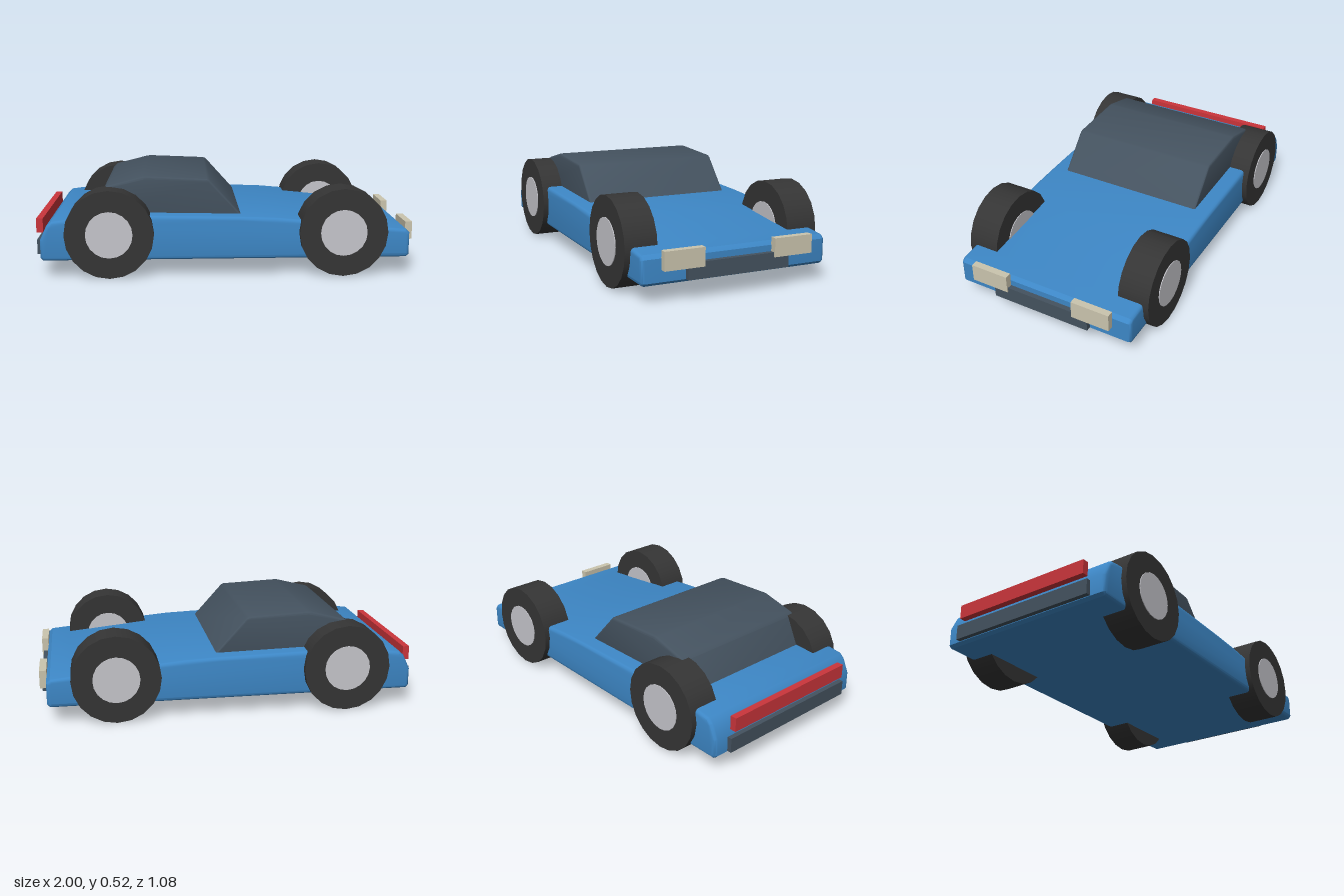
import * as THREE from 'three';
import { toCreasedNormals } from 'three/addons/utils/BufferGeometryUtils.js';

const paint = (name, color) => {
  const m = new THREE.MeshStandardMaterial({ color });
  m.name = name;
  return m;
};

export function createModel() {
  const car = new THREE.Group();
  car.name = 'car';

  const blue = paint('bodyBlue', 0x3d87c6);
  const slate = paint('slate', 0x44525f);
  const rubber = paint('tyreRubber', 0x353535);
  const metal = paint('hubMetal', 0xc6c6cc);
  const cream = paint('headlightCream', 0xcbc5ae);
  const red = paint('tailLightRed', 0xcb353b);

  const add = (name, geometry, material, x = 0, y = 0, z = 0) => {
    const mesh = new THREE.Mesh(geometry, material);
    mesh.name = name;
    mesh.position.set(x, y, z);
    car.add(mesh);
    return mesh;
  };

  // Side profile swept across the car, with softened edges inside the given width
  const sweep = (points, width, bevel) => {
    const shape = new THREE.Shape(points.map(([x, y]) => new THREE.Vector2(x, y)));
    const g = new THREE.ExtrudeGeometry(shape, {
      depth: width - 2 * bevel, bevelEnabled: true, bevelThickness: bevel,
      bevelSize: bevel, bevelOffset: -bevel, bevelSegments: 3,
    });
    g.translate(0, 0, -width / 2 + bevel);
    return toCreasedNormals(g, 0.55);
  };

  // Box given by its lower and upper corners
  const block = (name, material, [x0, y0, z0], [x1, y1, z1]) =>
    add(name, new THREE.BoxGeometry(x1 - x0, y1 - y0, z1 - z0), material,
      (x0 + x1) / 2, (y0 + y1) / 2, (z0 + z1) / 2);

  // Body
  add('body', sweep([
    [-0.955, 0.09], [0.95, 0.09], [0.965, 0.105], [0.965, 0.22], [0.945, 0.24],
    [0.84, 0.25], [0.6, 0.275], [0.4, 0.295], [0.25, 0.308], [0.07, 0.315],
    [-0.4, 0.325], [-0.84, 0.307], [-0.91, 0.298], [-0.935, 0.275],
    [-0.97, 0.2], [-0.97, 0.105],
  ], 1.01, 0.02), blue);

  // Cabin
  add('cabin', sweep([
    [-0.715, 0.3], [0.09, 0.3], [-0.085, 0.495], [-0.1, 0.502],
    [-0.42, 0.516], [-0.44, 0.514], [-0.62, 0.469], [-0.64, 0.455],
  ], 0.828, 0.014), slate);

  // Wheels with hubs showing on both faces
  const tyre = new THREE.CylinderGeometry(0.232, 0.232, 0.17, 20).rotateX(Math.PI / 2);
  const hub = new THREE.CylinderGeometry(0.122, 0.122, 0.178, 20).rotateX(Math.PI / 2);
  for (const [end, x] of [['front', 0.61], ['rear', -0.61]]) {
    for (const z of [0.449, -0.449]) {
      add(end + 'Tyre', tyre, rubber, x, 0.232, z);
      add(end + 'Hub', hub, metal, x, 0.232, z);
    }
  }

  // Headlights
  for (const s of [1, -1]) {
    block('headlight', cream, [0.963, 0.165, s * 0.297 - 0.106], [1, 0.26, s * 0.297 + 0.106]);
  }

  // Bumpers and tail light bar
  block('frontBumper', slate, [0.94, 0.105, -0.275], [0.992, 0.188, 0.275]);
  block('rearBumper', slate, [-0.995, 0.108, -0.42], [-0.95, 0.187, 0.42]);
  block('tailLight', red, [-1, 0.22, -0.4], [-0.965, 0.295, 0.4]);

  return car;
}
